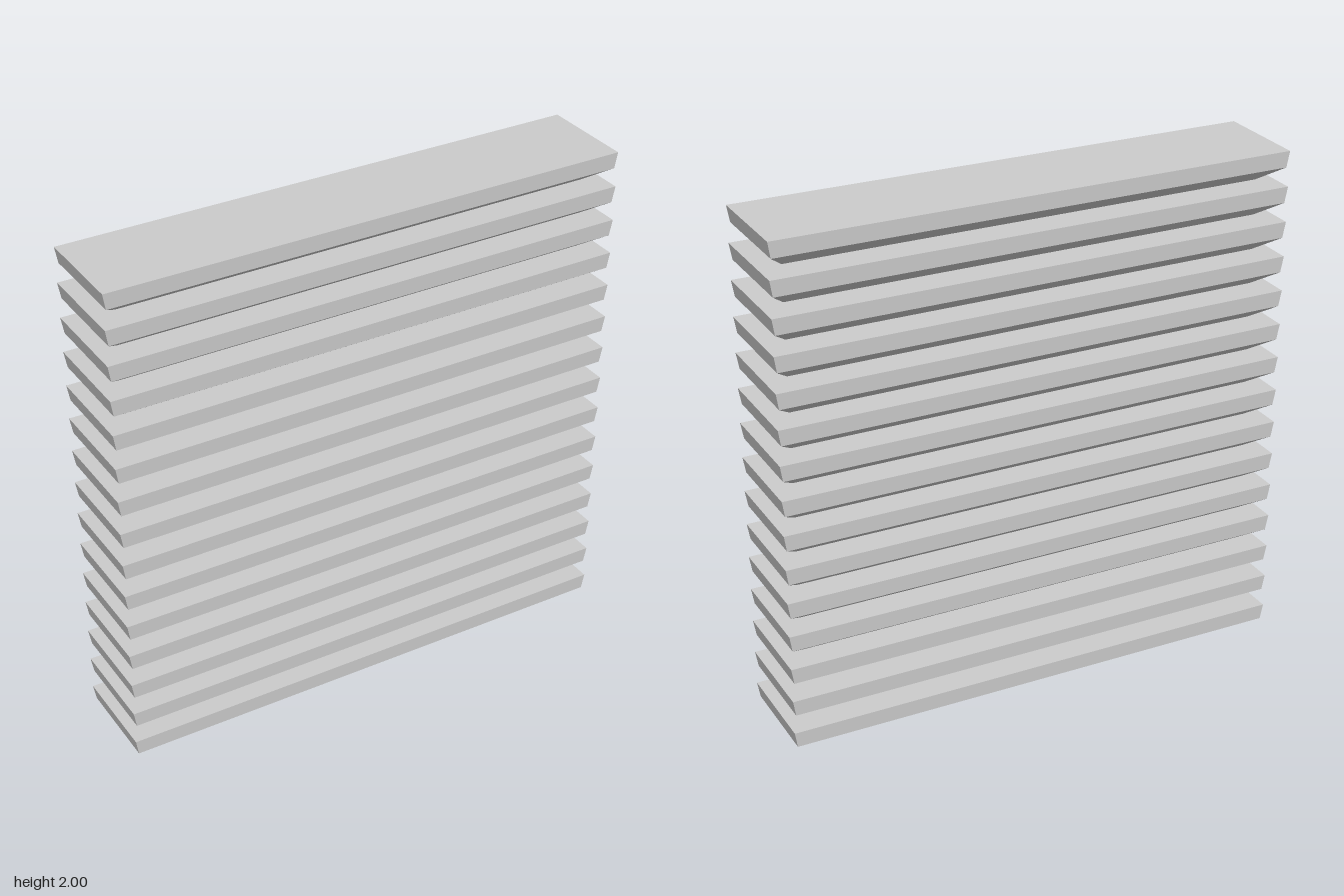
import * as THREE from 'three';

const COUNT = 15;
const HEIGHT = 0.124;
// half-width and half-depth of the slat's cross-sections, bottom to top
const RINGS = [
  { y: -HEIGHT, x: 0.908, z: 0.09 },
  { y: -0.061, x: 0.977, z: 0.18 },
  { y: 0, x: 0.987, z: 0.183 },
];

// A slat with a shallow upright rim and a chamfered underside, very slightly skewed
function slatGeometry() {
  const geometry = new THREE.BoxGeometry(2, 2, 2, 1, 2, 1);
  const pos = geometry.attributes.position;
  for (let i = 0; i < pos.count; i++) {
    const ring = RINGS[Math.round(pos.getY(i)) + 1];
    const x = Math.sign(pos.getX(i)) * ring.x;
    const z = Math.sign(pos.getZ(i)) * ring.z + 0.015 * x;
    pos.setXYZ(i, x, ring.y + 0.015 * z, z);
  }
  geometry.computeVertexNormals();
  return geometry;
}

export function createModel() {
  const group = new THREE.Group();
  group.name = 'slatStack';
  const material = new THREE.MeshStandardMaterial({ color: 0xcccccc, flatShading: true });
  const geometry = slatGeometry();

  // Evenly spaced slats from bottom to top
  const lowest = HEIGHT + 0.004;
  const highest = 1.998;
  for (let i = 0; i < COUNT; i++) {
    const slat = new THREE.Mesh(geometry, material);
    slat.name = `slat${i + 1}`;
    slat.position.y = THREE.MathUtils.lerp(lowest, highest, i / (COUNT - 1));
    group.add(slat);
  }
  return group;
}
